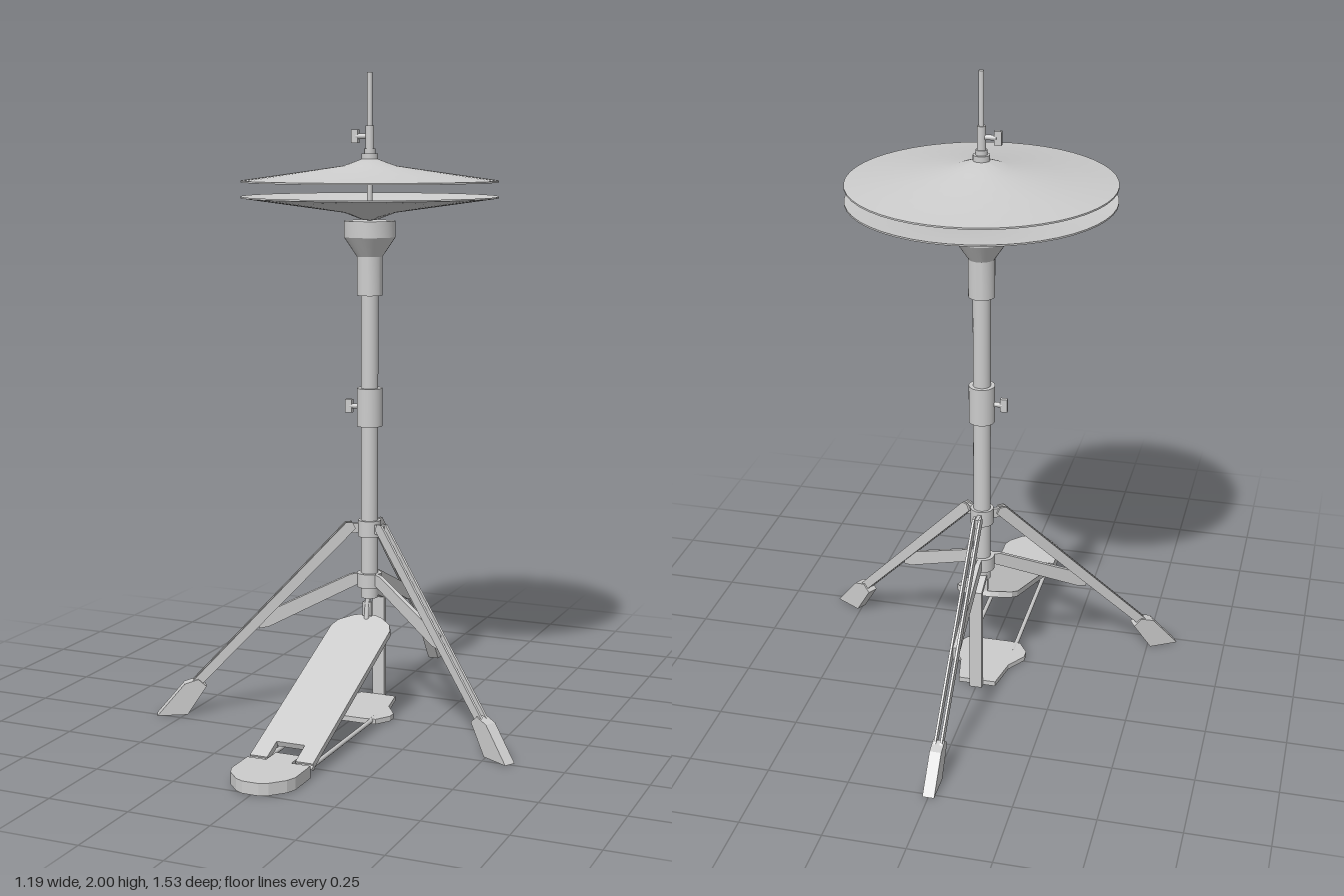
import * as THREE from 'three';
import { toCreasedNormals } from 'three/addons/utils/BufferGeometryUtils.js';

const AXIS_Z = -0.09; // the column stands slightly behind the centre
const grey = new THREE.MeshStandardMaterial({ color: 0xcccccc });
const thin = new THREE.MeshStandardMaterial({ color: 0xcccccc, side: THREE.DoubleSide });

function add(parent, name, geometry, x = 0, y = 0, z = 0, material = grey) {
  const mesh = new THREE.Mesh(geometry, material);
  mesh.name = name;
  mesh.position.set(x, y, z);
  parent.add(mesh);
  return mesh;
}

// Turned part from [radius, height] pairs
function turned(points, segments = 32) {
  const profile = points.map(([r, y]) => new THREE.Vector2(r, y));
  return toCreasedNormals(new THREE.LatheGeometry(profile, segments), 0.5);
}

// Flat plate from an outline, with its thickness centred on z
function plate(points, depth) {
  const shape = new THREE.Shape(points.map(([x, y]) => new THREE.Vector2(x, y)));
  return new THREE.ExtrudeGeometry(shape, { depth, bevelEnabled: false }).translate(0, 0, -depth / 2);
}

// Adds the mirrored half of an outline given for x > 0
const mirrored = (half) => [...half, ...half.map(([x, y]) => [-x, y]).reverse()];

// Straight round bar between two points
function bar(parent, name, a, b, radius) {
  const from = new THREE.Vector3(...a), to = new THREE.Vector3(...b);
  const mesh = add(parent, name, new THREE.CylinderGeometry(radius, radius, from.distanceTo(to), 12));
  mesh.position.copy(from).lerp(to, 0.5);
  mesh.quaternion.setFromUnitVectors(new THREE.Vector3(0, 1, 0), to.sub(from).normalize());
  return mesh;
}

function wingScrew(parent, name, y, start, end) {
  const screw = new THREE.Group();
  screw.name = name;
  bar(screw, 'screwShaft', [start, y, 0], [end + 0.015, y, 0], 0.008);
  add(screw, 'screwHead', new THREE.BoxGeometry(0.022, 0.042, 0.014), end + 0.011, y, 0);
  parent.add(screw);
}

function makeLeg(angle) {
  const leg = new THREE.Group();
  leg.name = 'leg';
  leg.rotation.y = angle;
  const rail = plate([[0.045, 0.585], [0.055, 0.605], [0.075, 0.605], [0.585, 0.085], [0.545, 0.085]], 0.007);
  for (const side of [-1, 1]) add(leg, 'legRail', rail, 0, 0, side * 0.0095);
  add(leg, 'legLug', new THREE.BoxGeometry(0.05, 0.03, 0.012), 0.045, 0.585, 0);
  add(leg, 'brace', plate([[0.035, 0.405], [0.035, 0.44], [0.06, 0.437], [0.35, 0.312], [0.35, 0.27], [0.32, 0.275]], 0.014));
  add(leg, 'foot', plate([[0.52, 0.09], [0.545, 0.113], [0.588, 0.1], [0.675, 0], [0.58, 0]], 0.036));
  return leg;
}

function makeStand() {
  const stand = new THREE.Group();
  stand.name = 'stand';
  stand.position.z = AXIS_Z;
  const tube = (name, r, y0, y1) =>
    add(stand, name, new THREE.CylinderGeometry(r, r, y1 - y0, 32), 0, (y0 + y1) / 2, 0);
  tube('column', 0.027, 0.36, 1.4);
  tube('lowerCollar', 0.039, 0.395, 0.44);
  tube('legCollar', 0.036, 0.558, 0.61);
  tube('heightCollar', 0.04, 0.91, 1.03);
  wingScrew(stand, 'heightScrew', 0.97, -0.035, -0.08);
  add(stand, 'cymbalSeat', turned([[0, 1.32], [0.04, 1.32], [0.04, 1.44], [0.08, 1.5], [0.08, 1.55], [0, 1.55]]));
  tube('pullRod', 0.008, 1.54, 2);
  for (const angle of [Math.PI / 2, -Math.PI / 6, Math.PI * 7 / 6]) stand.add(makeLeg(angle));

  // Facing pair of thin cymbals
  add(stand, 'bottomCymbal', turned([[0.008, 1.552], [0.02, 1.552], [0.08, 1.575], [0.397, 1.62],
    [0.397, 1.625], [0.08, 1.581], [0.02, 1.558], [0.008, 1.558]], 48), 0, 0, 0, thin);
  add(stand, 'topCymbal', turned([[0.008, 1.732], [0.025, 1.732], [0.08, 1.712], [0.397, 1.668],
    [0.397, 1.673], [0.08, 1.718], [0.025, 1.738], [0.008, 1.738]], 48), 0, 0, 0, thin);

  // Clutch that holds the top cymbal
  tube('clutchFelt', 0.025, 1.735, 1.755);
  tube('clutchNeck', 0.017, 1.755, 1.77);
  tube('clutch', 0.013, 1.77, 1.84);
  wingScrew(stand, 'clutchScrew', 1.807, -0.008, -0.06);
  return stand;
}

function makePedal() {
  const pedal = new THREE.Group();
  pedal.name = 'pedal';

  // Sloping footboard, notched around the heel tongue
  const rise = 0.265, run = 0.645, length = Math.hypot(rise, run);
  const board = add(pedal, 'footboard', plate(mirrored([[0.045, 0.07], [0.045, 0], [0.1, 0],
    [0.1, length - 0.07], [0.088, length - 0.04], [0.05, length - 0.01], [0.025, length]]), 0.018), 0, 0.03, 0.56);
  board.rotation.x = Math.atan2(rise, run) - Math.PI / 2;

  // Heel plate with its tongue and hinge
  const heel = add(pedal, 'heelPlate', plate(mirrored([[0.04, -0.515], [0.04, -0.58], [0.1, -0.58],
    [0.1, -0.68], [0.088, -0.71], [0.05, -0.75], [0.025, -0.762]].reverse()), 0.036), 0, 0.02, 0);
  heel.rotation.x = -Math.PI / 2;
  for (const side of [-1, 1]) {
    bar(pedal, 'hinge', [side * 0.05, 0.026, 0.556], [side * 0.1, 0.026, 0.556], 0.009);
    bar(pedal, 'frameRod', [side * 0.075, 0.012, 0.6], [side * 0.075, 0.012, 0.03], 0.007);
  }

  // Base plate, rear post and pull link
  const base = add(pedal, 'basePlate', plate(mirrored([[0.055, -0.08], [0.09, -0.075], [0.12, -0.03],
    [0.12, 0], [0.08, 0.06], [0.06, 0.165]]), 0.016), 0, 0.01, 0);
  base.rotation.x = -Math.PI / 2;
  const post = add(pedal, 'rearPost', plate([[0.165, 0], [0.181, 0], [0.181, 0.352], [0.12, 0.378],
    [0.08, 0.378], [0.08, 0.362], [0.115, 0.362], [0.165, 0.342]], 0.04));
  post.rotation.y = Math.PI / 2;
  bar(pedal, 'pullLink', [0, 0.37, AXIS_Z + 0.01], [0, 0.285, AXIS_Z + 0.025], 0.008);
  add(pedal, 'linkClevis', new THREE.BoxGeometry(0.03, 0.045, 0.012), 0, 0.325, AXIS_Z + 0.015);
  return pedal;
}

export function createModel() {
  const model = new THREE.Group();
  model.name = 'hiHatStand';
  model.add(makeStand(), makePedal());
  return model;
}
